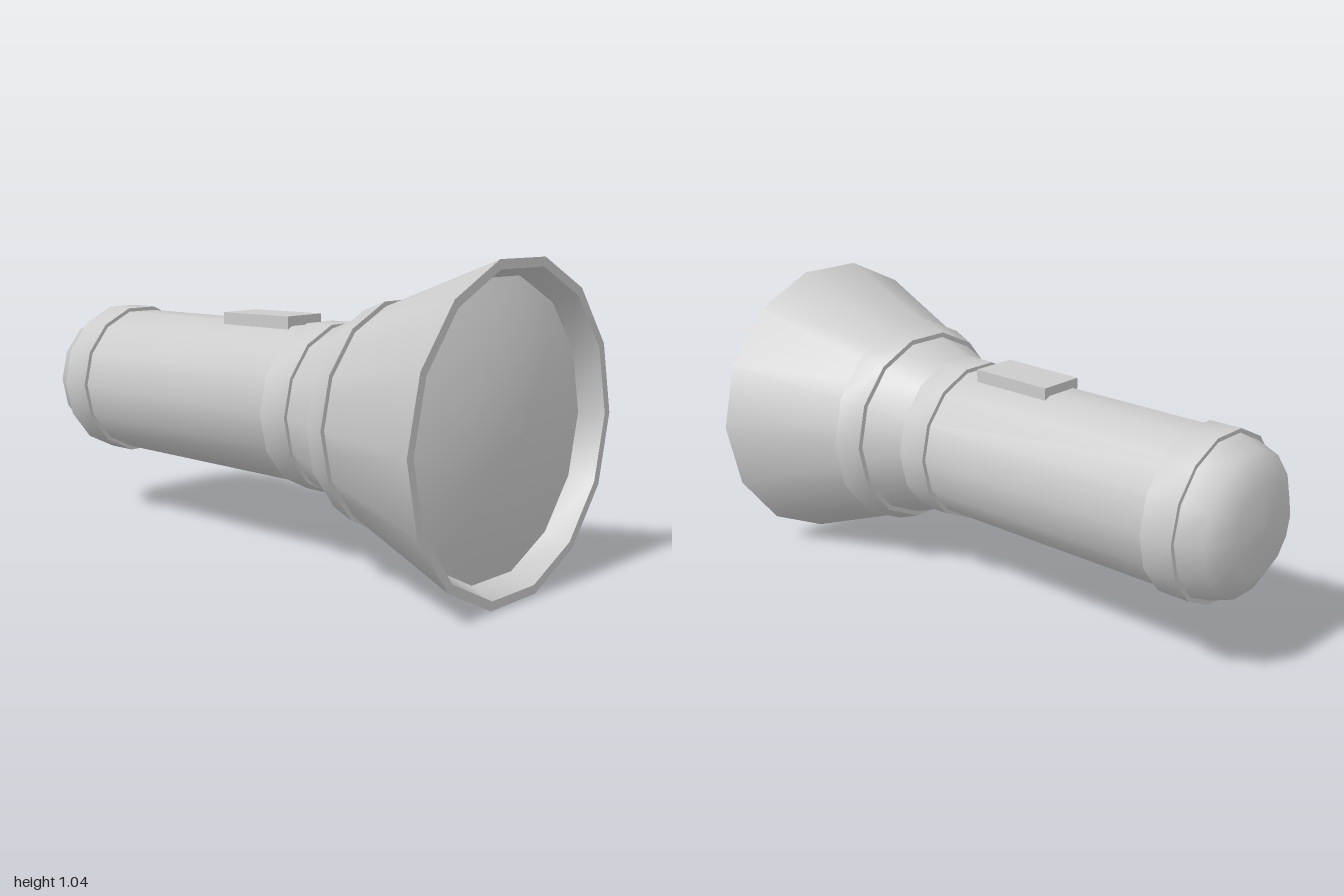
import * as THREE from 'three';
import { toCreasedNormals } from 'three/addons/utils/BufferGeometryUtils.js';

const SIDES = 14;
const AXIS_Y = 0.52;

export function createModel() {
  const group = new THREE.Group();
  group.name = 'flashlight';
  const material = new THREE.MeshStandardMaterial({ color: 0xcccccc });

  function add(name, geometry) {
    const mesh = new THREE.Mesh(geometry, material);
    mesh.name = name;
    group.add(mesh);
    return mesh;
  }

  // Turned part about the z axis; profile is [radius, z], running from back to front on the outside
  function turned(name, profile, crease = 0.6) {
    const points = profile.map(([r, z]) => new THREE.Vector2(r, z));
    let geometry = new THREE.LatheGeometry(points, SIDES, Math.PI / 2);
    geometry.rotateX(Math.PI / 2);
    if (crease) geometry = toCreasedNormals(geometry, crease);
    add(name, geometry).position.y = AXIS_Y;
  }

  // Raised band with end faces that sink into the surface below
  function band(name, z0, r0, z1, r1, depth) {
    turned(name, [[r0 - depth, z0], [r0, z0], [r1, z1], [r1 - depth, z1]]);
  }

  // Handle tube and its rounded tail
  turned('handle', [[0.269, -0.86], [0.274, 0.3]]);
  turned('tailCap', [[0, -1], [0.155, -0.992], [0.238, -0.938], [0.27, -0.85]], 0);

  // Bands around the handle and the head
  band('tailBand', -0.855, 0.283, -0.74, 0.283, 0.03);
  band('collar', 0.19, 0.288, 0.3, 0.29, 0.03);
  band('headBand', 0.45, 0.35, 0.54, 0.383, 0.03);

  // Flared head with a flat rim and inner lip
  turned('head', [[0.277, 0.3], [0.533, 0.985], [0.503, 0.985], [0.473, 0.905]]);

  // Domed lens
  const lens = [];
  for (let i = 0; i <= 6; i++) {
    const t = 1 - i / 6;
    lens.push([0.473 * t, 0.905 + 0.092 * (1 - t * t)]);
  }
  turned('lens', lens, 0);

  // Slide switch on top of the handle
  const button = add('switch', new THREE.BoxGeometry(0.166, 0.05, 0.31));
  button.position.set(0, 0.793, -0.035);
  button.rotation.x = -0.012;

  return group;
}
